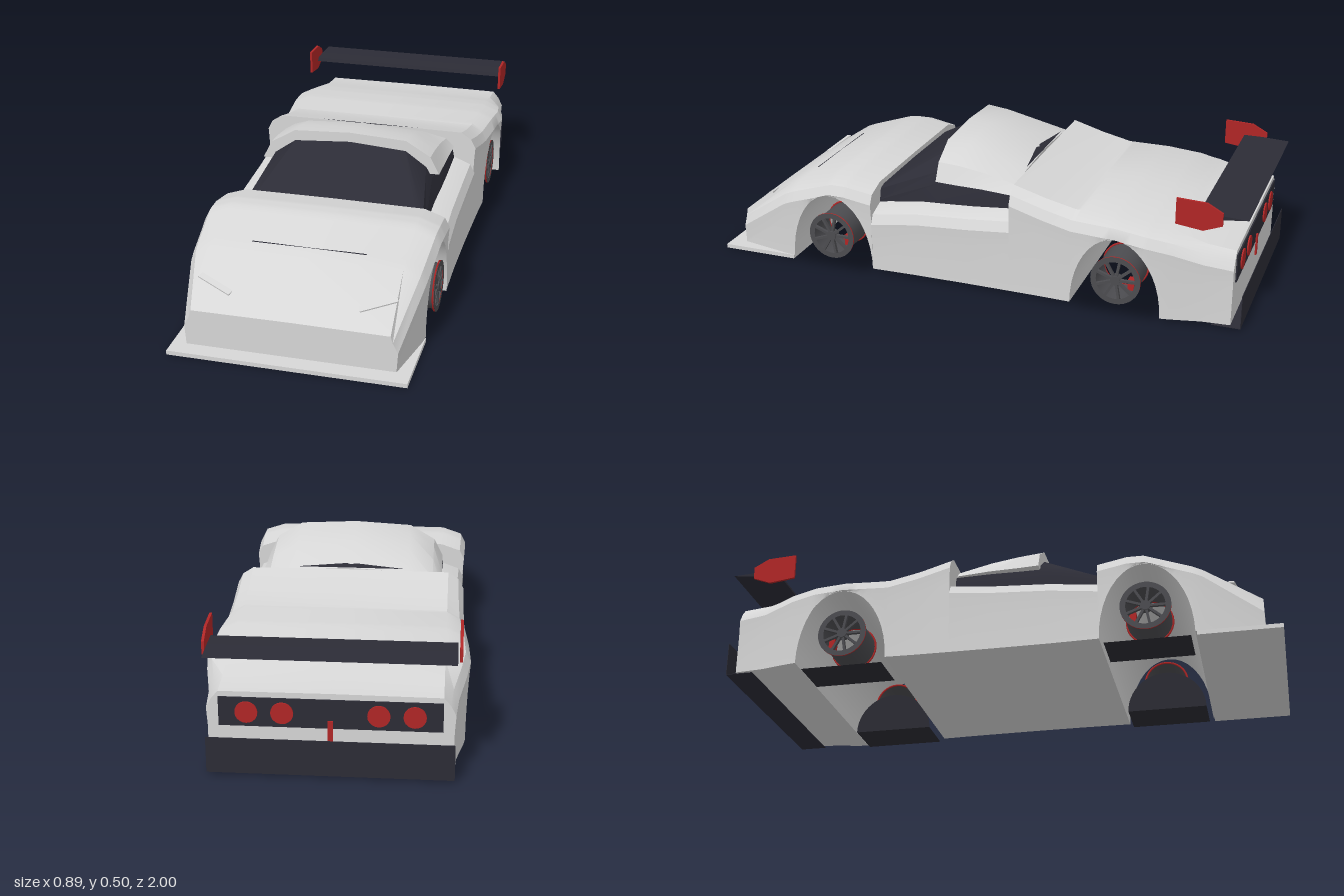
import * as THREE from 'three';
import { toCreasedNormals } from 'three/addons/utils/BufferGeometryUtils.js';

const mat = (name, color, side = THREE.FrontSide) => {
  const m = new THREE.MeshStandardMaterial({ color, side });
  m.name = name;
  return m;
};

// Skin a list of half cross-sections { z, half: [[x, y]...] }, front to back, mirrored in x.
function loft(sections, crease = 0.5) {
  const pos = [], idx = [];
  let n = 0;
  for (const { z, half } of sections) {
    const loop = [...half, ...half.slice(1, -1).reverse().map(([x, y]) => [-x, y])];
    n = loop.length;
    loop.forEach(([x, y]) => pos.push(x, y, z));
  }
  const last = (sections.length - 1) * n;
  for (let o = 0; o < last; o += n) {
    for (let j = 0; j < n; j++) {
      const k = (j + 1) % n;
      idx.push(o + j, o + n + k, o + k, o + j, o + n + j, o + n + k);
    }
  }
  for (let j = 1; j < n - 1; j++) idx.push(0, j, j + 1, last, last + j + 1, last + j);
  const g = new THREE.BufferGeometry();
  g.setAttribute('position', new THREE.Float32BufferAttribute(pos, 3));
  g.setIndex(idx);
  return toCreasedNormals(g, crease);
}

// Body shell from keys [z, width, top, topWidth]; the underside follows the wheel arch.
const ARCH_W = 0.165, ARCH_H = 0.27, FLOOR = 0.015;
function bodyShell(keys, archZ) {
  const zs = keys.map((k) => k[0]);
  if (archZ !== null) {
    for (let i = 0; i <= 20; i++) zs.push(archZ + ARCH_W * Math.cos((i / 20) * Math.PI));
  }
  zs.sort((a, b) => b - a);
  const list = zs.filter((z, i) => i === 0 || zs[i - 1] - z > 1e-4);
  return loft(list.map((z) => {
    let i = 0;
    while (i < keys.length - 2 && z < keys[i + 1][0]) i++;
    const a = keys[i], b = keys[i + 1];
    const t = THREE.MathUtils.clamp((z - a[0]) / (b[0] - a[0]), 0, 1);
    const [w, top, tw] = [1, 2, 3].map((c) => a[c] + (b[c] - a[c]) * t);
    const d = archZ === null ? 1 : (z - archZ) / ARCH_W;
    const bot = FLOOR + ARCH_H * Math.sqrt(Math.max(0, 1 - d * d));
    const y1 = Math.max(bot + 0.002, top - 0.06);
    const y0 = Math.max(bot + 0.001, top - 0.12);
    return { z, half: [[0, bot], [w - 0.004, bot], [w - 0.004, y0], [w, y1],
      [w - 0.018, Math.max(y1 + 0.004, top - 0.025)], [tw, top], [0, top + 0.002]] };
  }));
}

export function createModel() {
  const car = new THREE.Group();
  const body = mat('body paint', 0xd6d6d6);
  const dark = mat('dark panel', 0x2c2c36, THREE.DoubleSide);
  const tyre = mat('tyre', 0x2b2b33);
  const rim = mat('rim', 0x4c4c50, THREE.DoubleSide);
  const red = mat('red accent', 0xb02626, THREE.DoubleSide);

  const add = (name, geo, m, parent = car, x = 0, y = 0, z = 0) => {
    const mesh = new THREE.Mesh(geo, m);
    mesh.name = name;
    mesh.position.set(x, y, z);
    parent.add(mesh);
    return mesh;
  };
  const box = (w, h, d) => new THREE.BoxGeometry(w, h, d);

  // Body shells
  add('frontBody', bodyShell([[0.94, 0.365, 0.145, 0.34], [0.74, 0.408, 0.28, 0.335],
    [0.705, 0.412, 0.295, 0.333], [0.54, 0.423, 0.35, 0.33], [0.48, 0.424, 0.35, 0.33],
    [0.375, 0.42, 0.332, 0.33]], 0.54), body);
  add('doors', bodyShell([[0.375, 0.418, 0.255, 0.33], [0.2, 0.414, 0.278, 0.33],
    [0, 0.414, 0.29, 0.335], [-0.16, 0.416, 0.305, 0.335]], null), body);
  add('rearBody', bodyShell([[-0.16, 0.416, 0.408, 0.36], [-0.28, 0.418, 0.373, 0.36],
    [-0.39, 0.422, 0.348, 0.36], [-0.55, 0.438, 0.347, 0.36], [-0.66, 0.445, 0.335, 0.36],
    [-0.75, 0.432, 0.32, 0.36], [-0.86, 0.408, 0.29, 0.36], [-0.96, 0.4, 0.28, 0.36]], -0.555), body);
  add('splitter', box(0.82, 0.015, 0.29), body, car, 0, 0.0075, 0.855);

  // Cabin glass and roof
  add('windows', loft([
    { z: 0.382, half: [[0, 0.24], [0.335, 0.24], [0.335, 0.26], [0.325, 0.3], [0.3, 0.308], [0, 0.312]] },
    { z: 0.15, half: [[0, 0.27], [0.335, 0.27], [0.31, 0.35], [0.287, 0.39], [0.21, 0.445], [0, 0.46]] },
    { z: -0.158, half: [[0, 0.29], [0.338, 0.29], [0.325, 0.35], [0.3, 0.365], [0.2, 0.385], [0, 0.395]] },
  ]), dark);
  add('roof', loft([
    [0.15, 0.365, 0.43, 0.485, 0.496], [0.07, 0.362, 0.425, 0.475, 0.487],
    [-0.03, 0.36, 0.41, 0.452, 0.465], [-0.152, 0.352, 0.382, 0.402, 0.412],
  ].map(([z, a, b, c, d]) => ({ z, half: [[0, a], [0.335, a], [0.302, b], [0.21, c], [0, d]] }))), body);
  const gap = new THREE.Shape([[-0.2, 0], [0.2, 0], [0, -0.03]].map((p) => new THREE.Vector2(...p)));
  add('roofGap', new THREE.ShapeGeometry(gap), dark, car, 0, 0.414, -0.153).rotation.x = -Math.PI / 2 - 0.3;
  add('hoodSlit', box(0.4, 0.003, 0.004), dark, car, 0, 0.298, 0.697);

  // Rear bumper, light panel and lamps
  add('bumperBack', box(0.8, 0.125, 0.002), dark, car, 0, 0.07, -0.995);
  add('bumperBase', box(0.8, 0.002, 0.1), dark, car, 0, 0.008, -0.945);
  add('lightPanel', box(0.72, 0.1, 0.006), dark, car, 0, 0.212, -0.962);
  for (const x of [-0.27, -0.155, 0.155, 0.27]) {
    add('tailLight', new THREE.CylinderGeometry(0.037, 0.037, 0.006, 20), red, car, x, 0.212, -0.967)
      .rotation.x = Math.PI / 2;
  }
  add('centreLight', box(0.018, 0.08, 0.006), red, car, 0, 0.15, -0.968);

  // Rear wing
  const foil = new THREE.Shape([[0.825, 0.402], [0.9, 0.4], [1, 0.411], [0.9, 0.416], [0.83, 0.416]]
    .map((p) => new THREE.Vector2(...p)));
  add('wing', new THREE.ExtrudeGeometry(foil, { depth: 0.8, bevelEnabled: false }), dark, car, -0.4)
    .rotation.y = Math.PI / 2;
  const plate = new THREE.Shape([[0.755, 0.372], [0.85, 0.36], [0.915, 0.385], [0.915, 0.43],
    [0.86, 0.46], [0.755, 0.465]].map((p) => new THREE.Vector2(...p)));
  const plateGeo = new THREE.ExtrudeGeometry(plate, { depth: 0.009, bevelEnabled: false });

  for (const s of [-1, 1]) {
    add('wingEndPlate', plateGeo, red, car, s * 0.411 - 0.0045).rotation.y = Math.PI / 2;

    // Slim brow over each headlight
    const brow = add('headlightBrow', box(0.13, 0.005, 0.022), body, car, s * 0.28, 0.207, 0.855);
    brow.rotation.set(0.3, s * 0.38, s * 0.15);

    for (const z of [0.54, -0.555]) {
      // Tyre base: inner half disc and flat contact patch
      add('tyreInnerWall', new THREE.CircleGeometry(0.15, 24, 0, Math.PI), tyre, car, s * 0.24, 0, z)
        .rotation.y = -s * Math.PI / 2;
      add('tyreContactPatch', new THREE.PlaneGeometry(0.17, 0.3), tyre, car, s * 0.325, 0, z)
        .rotation.x = Math.PI / 2;

      // Wheel, built with its axle along local z (outward)
      const wheel = new THREE.Group();
      wheel.name = 'wheel';
      wheel.position.set(s * 0.42, 0.125, z);
      wheel.rotation.y = s * Math.PI / 2;
      car.add(wheel);
      add('rimBarrel', new THREE.CylinderGeometry(0.08, 0.08, 0.14, 28, 1, true), rim, wheel, 0, 0, -0.075)
        .rotation.x = Math.PI / 2;
      add('rimLip', new THREE.RingGeometry(0.07, 0.09, 32), rim, wheel, 0, 0, -0.002);
      add('rimEdge', new THREE.TorusGeometry(0.087, 0.003, 6, 32), red, wheel, 0, 0, -0.007);
      add('rimInnerEdge', new THREE.TorusGeometry(0.082, 0.004, 6, 32), red, wheel, 0, 0, -0.145);
      add('hub', new THREE.CylinderGeometry(0.018, 0.018, 0.03, 16), rim, wheel, 0, 0, -0.015)
        .rotation.x = Math.PI / 2;
      for (let i = 0; i < 9; i++) {
        const a = (i / 9) * Math.PI * 2;
        add('spoke', box(0.062, 0.009, 0.012), rim, wheel, 0.045 * Math.cos(a), 0.045 * Math.sin(a), -0.01)
          .rotation.z = a;
      }
      add('brakeCaliper', box(0.022, 0.04, 0.03), red, wheel, s * 0.048, -0.025, -0.05);
    }
  }
  return car;
}
